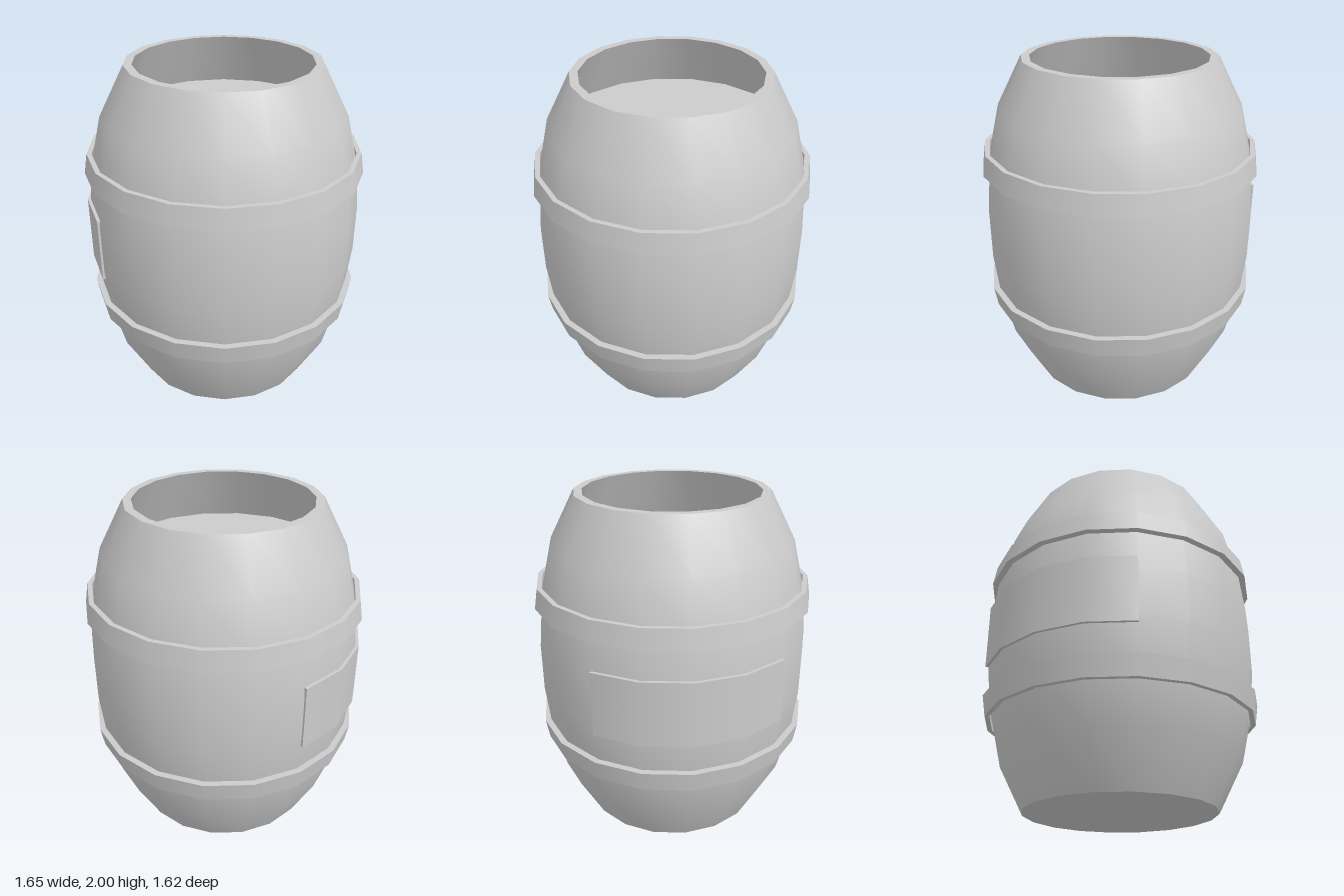
import * as THREE from 'three';
import { mergeGeometries } from 'three/addons/utils/BufferGeometryUtils.js';

const SIDES = 18;
const STEP = (Math.PI * 2) / SIDES;
const material = new THREE.MeshStandardMaterial({ color: 0xcccccc });
const thinMaterial = new THREE.MeshStandardMaterial({ color: 0xcccccc, side: THREE.DoubleSide });

// Lathe each run of [radius, height] points on its own, so edges between runs stay sharp
function turned(runs, start = Math.PI / 2, steps = SIDES) {
  return mergeGeometries(runs.map((run) => new THREE.LatheGeometry(
    run.map(([r, y]) => new THREE.Vector2(r, y)), steps, start, steps * STEP)));
}

// Split a closed outline into single sharp-edged runs
function sharpRuns(outline) {
  return outline.map((p, i) => [p, outline[(i + 1) % outline.length]]);
}

function addPart(group, name, geometry, mat = material) {
  const mesh = new THREE.Mesh(geometry, mat);
  mesh.name = name;
  group.add(mesh);
}

export function createModel() {
  const group = new THREE.Group();
  group.name = 'barrel';

  // Bulging staves, evenly spaced in height
  const radii = [0.56, 0.71, 0.78, 0.81, 0.81, 0.78, 0.71, 0.56];
  const staves = radii.map((r, i) => [r, (i * 2) / 7]);
  addPart(group, 'body', turned([staves]));
  addPart(group, 'base', turned([[[0, 0], [0.56, 0]]]));

  // Rim, inner wall widening downwards and the recessed lid
  addPart(group, 'rim', turned([[[0.56, 2], [0.512, 2]]]));
  addPart(group, 'innerWall', turned([[[0.512, 2], [0.665, 1.68]]]));
  addPart(group, 'lid', turned([[[0.665, 1.68], [0, 1.68]]]));

  // Two tapered hoops, mirrored about the middle
  addPart(group, 'upperHoop', turned(sharpRuns(
    [[0.78, 1.375], [0.823, 1.375], [0.803, 1.494], [0.775, 1.494]])));
  addPart(group, 'lowerHoop', turned(sharpRuns(
    [[0.775, 0.512], [0.803, 0.512], [0.823, 0.632], [0.78, 0.632]])));

  // Curved plate over four facets on one side, closed at both ends
  const start = THREE.MathUtils.degToRad(-150);
  const [inner, outer, low, high] = [0.795, 0.823, 0.81, 1.2];
  const plate = turned(sharpRuns(
    [[inner, low], [outer, low], [outer, high], [inner, high]]), start, 4);
  const ends = [start, start + 4 * STEP].map((angle) =>
    new THREE.PlaneGeometry(outer - inner, high - low)
      .translate((inner + outer) / 2, (low + high) / 2, 0)
      .rotateY(angle - Math.PI / 2));
  addPart(group, 'sidePlate', mergeGeometries([plate, ...ends]), thinMaterial);

  return group;
}
